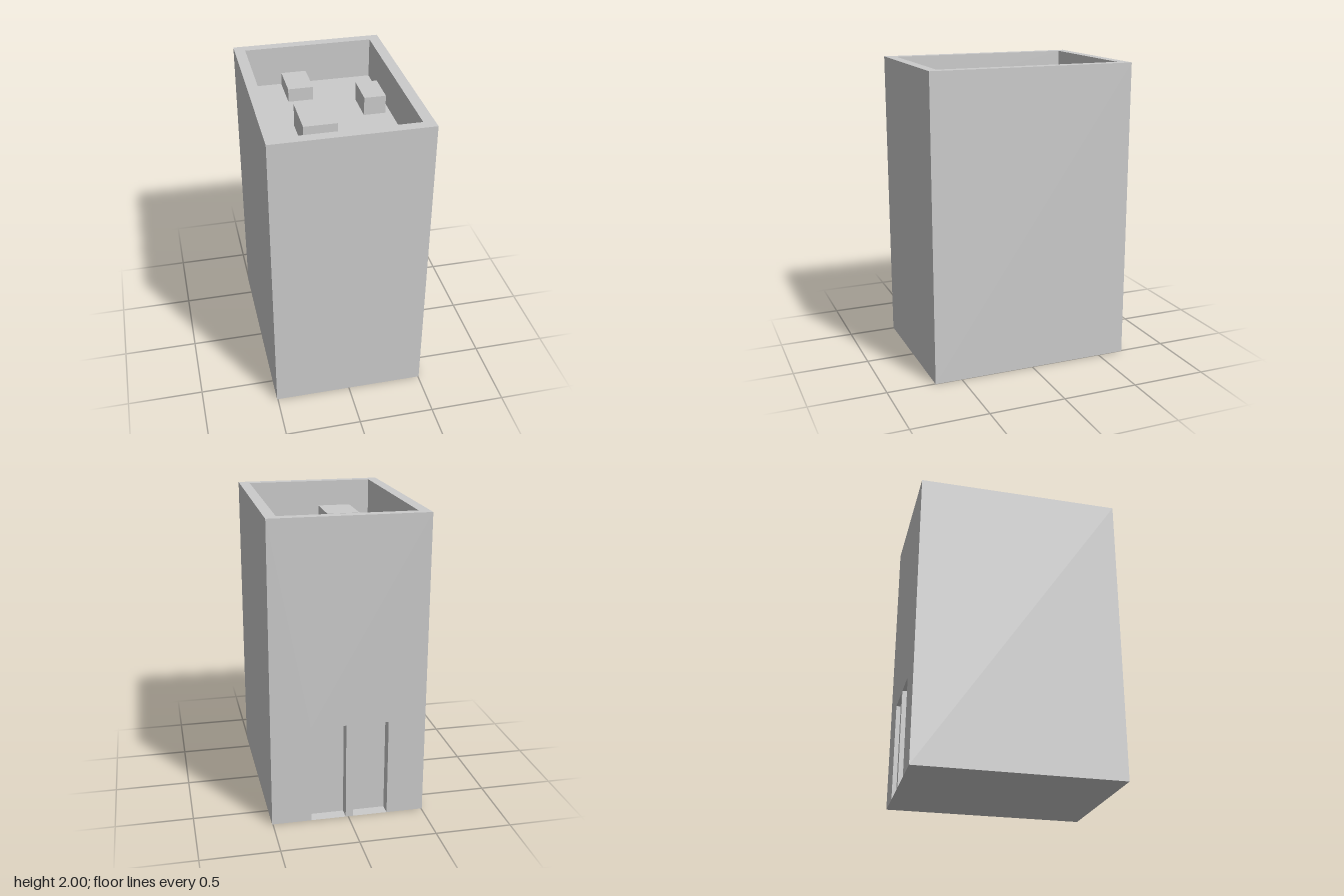
import * as THREE from 'three';

const W = 1.01, D = 1.36, H = 2;            // outer block
const IW = 0.868, ID = 1.224, ROOF = 1.728; // sunken roof
const DOOR_H = 0.655, DOOR_D = 0.08;
const doors = [[0.017, 0.247], [-0.261, -0.032]];
const Q = Math.PI / 2;

export function createModel() {
  const model = new THREE.Group();
  const material = new THREE.MeshStandardMaterial({ color: 0xcccccc, side: THREE.DoubleSide });

  const add = (parent, name, geometry, x, y, z, rx = 0, ry = 0) => {
    const mesh = new THREE.Mesh(geometry, material);
    mesh.name = name;
    mesh.position.set(x, y, z);
    mesh.rotation.set(rx, ry, 0);
    parent.add(mesh);
  };
  const panel = (parent, name, w, h, ...place) =>
    add(parent, name, new THREE.PlaneGeometry(w, h), ...place);
  const rectangle = (w, h, Type) => new Type([
    [-w / 2, -h / 2], [w / 2, -h / 2], [w / 2, h / 2], [-w / 2, h / 2],
  ].map(([x, y]) => new THREE.Vector2(x, y)));

  // Outer walls and base
  panel(model, 'frontWall', W, H, 0, H / 2, D / 2);
  for (const s of [-1, 1]) {
    panel(model, s > 0 ? 'leftWall' : 'rightWall', D, H, s * W / 2, H / 2, 0, 0, s * Q);
  }
  panel(model, 'base', W, D, 0, 0, 0, Q);

  // Back wall, notched at ground level for the two doorways
  const back = new THREE.Shape();
  back.moveTo(-W / 2, 0);
  for (const [a, b] of doors) {
    back.lineTo(-b, 0);
    back.lineTo(-b, DOOR_H);
    back.lineTo(-a, DOOR_H);
    back.lineTo(-a, 0);
  }
  back.lineTo(W / 2, 0);
  back.lineTo(W / 2, H);
  back.lineTo(-W / 2, H);
  add(model, 'backWall', new THREE.ShapeGeometry(back), 0, 0, -D / 2, 0, Math.PI);

  // Recessed doorways
  for (const [a, b] of doors) {
    const doorway = new THREE.Group();
    doorway.name = 'doorway';
    const mid = (a + b) / 2, z = -D / 2 + DOOR_D / 2;
    panel(doorway, 'door', b - a, DOOR_H, mid, DOOR_H / 2, -D / 2 + DOOR_D, 0, Math.PI);
    panel(doorway, 'lintel', b - a, DOOR_D, mid, DOOR_H, z, Q);
    panel(doorway, 'jamb', DOOR_D, DOOR_H, a, DOOR_H / 2, z, 0, Q);
    panel(doorway, 'jamb', DOOR_D, DOOR_H, b, DOOR_H / 2, z, 0, -Q);
    model.add(doorway);
  }

  // Parapet rim, inner faces and sunken roof
  const rim = rectangle(W, D, THREE.Shape);
  rim.holes.push(rectangle(IW, ID, THREE.Path));
  add(model, 'parapetRim', new THREE.ShapeGeometry(rim), 0, H, 0, -Q);
  const depth = H - ROOF, midY = (H + ROOF) / 2;
  for (const s of [-1, 1]) {
    panel(model, 'parapetInnerSide', ID, depth, s * IW / 2, midY, 0, 0, -s * Q);
    panel(model, 'parapetInnerEnd', IW, depth, 0, midY, s * ID / 2, 0, s > 0 ? Math.PI : 0);
  }
  panel(model, 'roof', IW, ID, 0, ROOF, 0, -Q);

  // Rooftop units: x range, z range, top height
  for (const [x0, x1, z0, z1, top] of [
    [-0.195, -0.025, -0.59, -0.333, 1.82],
    [0.253, 0.398, -0.272, -0.041, 1.852],
    [-0.22, -0.002, -0.001, 0.303, 1.88],
  ]) {
    add(model, 'roofUnit', new THREE.BoxGeometry(x1 - x0, top - ROOF, z1 - z0),
      (x0 + x1) / 2, (top + ROOF) / 2, (z0 + z1) / 2);
  }
  return model;
}
